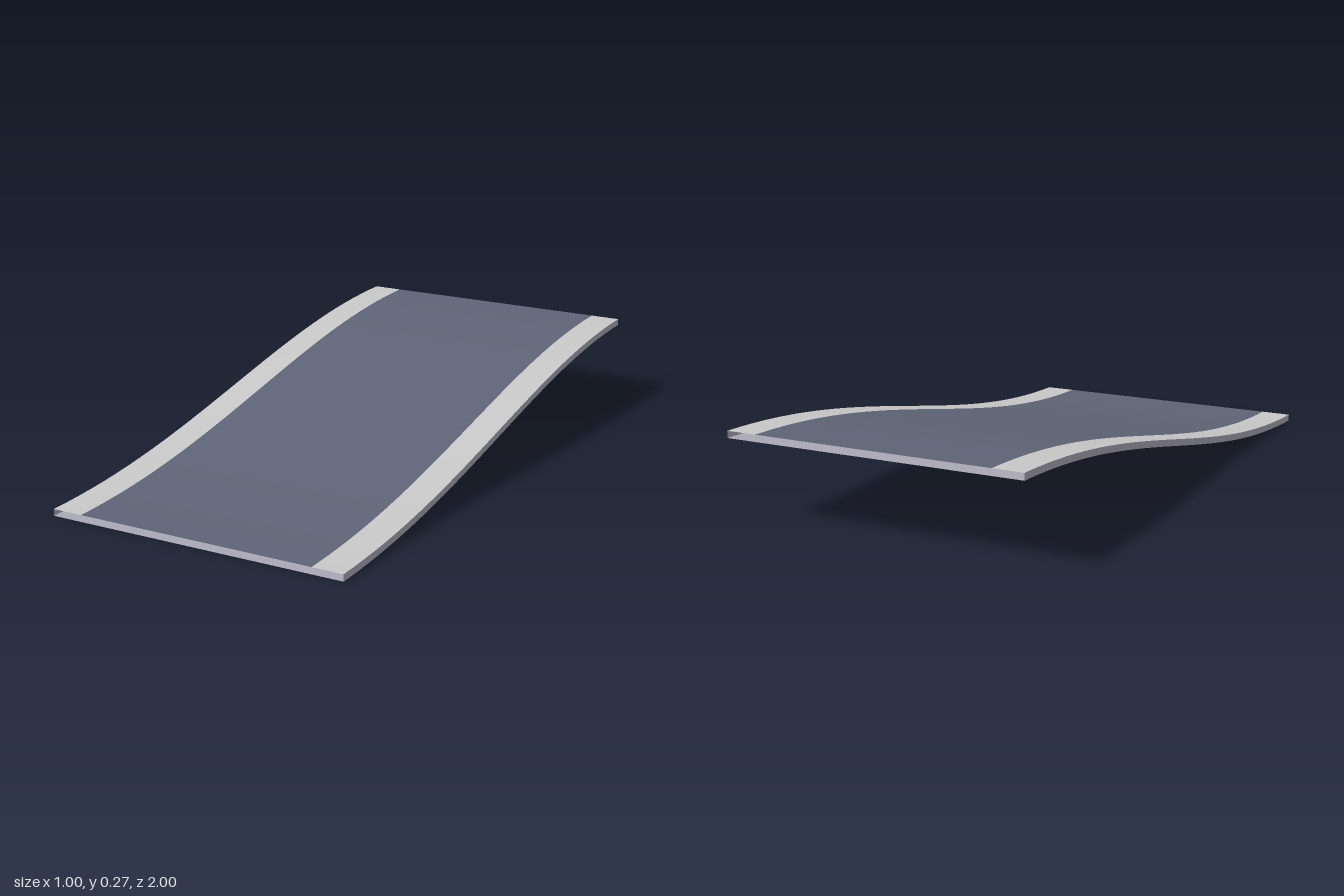
import * as THREE from 'three';

const LENGTH = 2, WIDTH = 1, LANE = 0.796, THICK = 0.022, RISE = 0.248, SEGMENTS = 32;

// Height of the underside: a gentle S-curve, low at the front and high at the back
const heightAt = (z) => RISE * (1 - Math.cos(Math.PI * (1 - z) / 2)) / 2;

// Lift every vertex onto the S-curve
function bend(geometry) {
  const p = geometry.attributes.position;
  for (let i = 0; i < p.count; i++) p.setY(i, p.getY(i) + heightAt(p.getZ(i)));
  geometry.computeVertexNormals();
  return geometry;
}

// Lengthwise sheet facing up
function sheet(width, x, y) {
  const g = new THREE.PlaneGeometry(width, LENGTH, 1, SEGMENTS);
  g.rotateX(-Math.PI / 2).translate(x, y, 0);
  return bend(g);
}

// Thin side wall facing outwards
function wall(side) {
  const g = new THREE.PlaneGeometry(LENGTH, THICK, SEGMENTS, 1);
  g.rotateY(side * Math.PI / 2).translate(side * WIDTH / 2, THICK / 2, 0);
  return bend(g);
}

function material(name, color) {
  const m = new THREE.MeshStandardMaterial({ color, side: THREE.DoubleSide });
  m.name = name;
  return m;
}

export function createModel() {
  const model = new THREE.Group();
  model.name = 'roadRamp';
  const asphalt = material('asphalt', 0x5e6476);
  const pavement = material('pavement', 0xc8c8c8);
  const base = material('base', 0xaaa8b6);

  const add = (name, geometry, mat) => {
    const mesh = new THREE.Mesh(geometry, mat);
    mesh.name = name;
    model.add(mesh);
  };

  // Top surface: lane between two borders
  add('lane', sheet(LANE, 0, THICK), asphalt);
  const border = (WIDTH - LANE) / 2;
  for (const [label, side] of [['left', 1], ['right', -1]]) {
    add(label + 'Border', sheet(border, side * (LANE + border) / 2, THICK), pavement);
    add(label + 'Wall', wall(side), base);
  }

  // Underside; the two ends of the shell stay open
  add('underside', sheet(WIDTH, 0, 0), base);
  return model;
}
